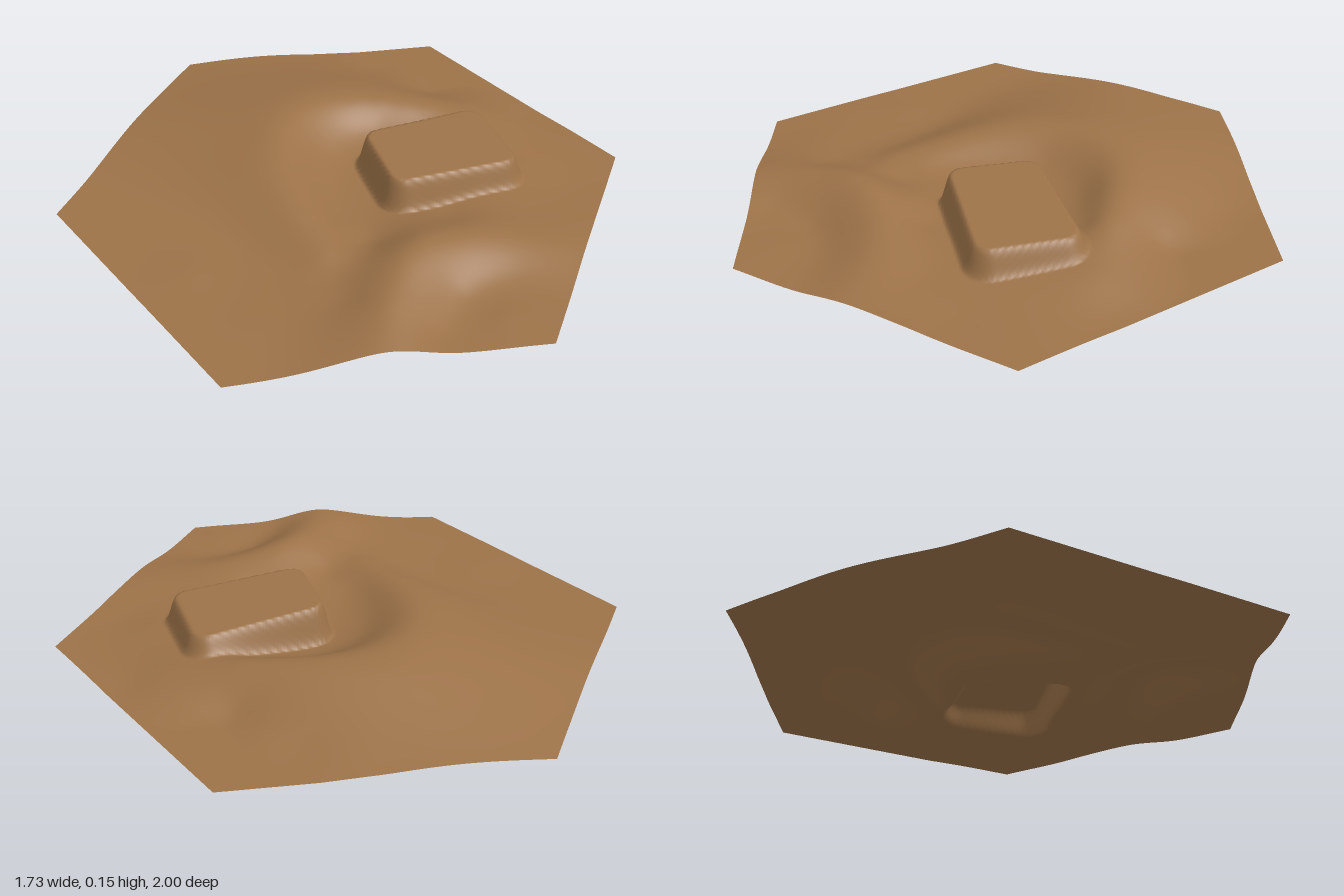
import * as THREE from 'three';

const N = 100; // grid steps per hexagon side

// Crest and foot lines of the land, as [x, height, z] knots
const lines = {
  craterRim: [[0.42, 0.04, -0.54], [0.2, 0.08, -0.46], [0, 0.1, -0.4], [-0.2, 0.12, -0.3], [-0.28, 0.125, -0.12],
    [-0.2, 0.11, 0.07], [-0.05, 0.083, 0.25], [0.1, 0.055, 0.41], [0.17, 0.045, 0.46]],
  craterFoot: [[0.18, 0.05, -0.38], [-0.03, 0.05, -0.28], [-0.11, 0.05, -0.12], [-0.05, 0.048, 0.08],
    [0.08, 0.042, 0.23], [0.2, 0.042, 0.3]],
  westSpur: [[-0.866, 0.03, -0.04], [-0.6, 0.07, -0.02], [-0.38, 0.11, -0.03]],
  westFoot: [[-0.866, 0.003, 0.3], [-0.5, 0.01, 0.36], [-0.2, 0.015, 0.42], [0.08, 0.03, 0.5]],
  eastRim: [[0.866, 0.03, 0.08], [0.65, 0.06, 0.12], [0.48, 0.09, 0.2], [0.36, 0.112, 0.34], [0.36, 0.095, 0.52],
    [0.42, 0.065, 0.757]],
  eastFoot: [[0.866, 0.014, 0.25], [0.68, 0.024, 0.27], [0.55, 0.025, 0.42], [0.54, 0.03, 0.6]],
};

// Single spot heights on the plains and along the border
const spots = [
  [0, 0, -1], [0.43, 0, -0.75], [0.866, 0.004, -0.5], [0.866, 0.02, -0.15], [0.866, 0.016, 0.5], [0.65, 0.022, 0.625],
  [0.2, 0.018, 0.885], [0.1, 0.005, 0.942], [0, 0, 1], [-0.43, 0, 0.75], [-0.866, 0, 0.5], [-0.866, 0.01, -0.5],
  [-0.866, 0.022, -0.28], [-0.65, 0.022, -0.625], [-0.43, 0.01, -0.75], [-0.15, 0.01, -0.74], [0.12, 0.01, -0.66],
  [0.5, 0.008, -0.64], [-0.3, 0.008, 0.6], [0, 0.014, 0.72], [0.22, 0.042, 0.58], [0.4, 0.045, 0.08],
  [0.65, 0.035, -0.05], [0.75, 0.014, -0.25], [0.6, 0.03, -0.3], [0.3, 0.04, -0.18], [0.7, 0.02, 0.45],
];

// Smooth surface through all the points (multiquadric interpolation)
function makeLand() {
  const pts = spots.map((p) => new THREE.Vector3(...p));
  for (const knots of Object.values(lines)) {
    const curve = new THREE.CatmullRomCurve3(knots.map((p) => new THREE.Vector3(...p)));
    pts.push(...curve.getSpacedPoints(Math.round(curve.getLength() / 0.09)));
  }
  const kernel = (p, x, z) => Math.sqrt((p.x - x) ** 2 + (p.z - z) ** 2 + 0.0025);
  const n = pts.length;
  const m = pts.map((a) => [...pts.map((b) => kernel(b, a.x, a.z)), a.y]);
  for (let c = 0; c < n; c++) {
    let best = c;
    for (let r = c + 1; r < n; r++) if (Math.abs(m[r][c]) > Math.abs(m[best][c])) best = r;
    [m[c], m[best]] = [m[best], m[c]];
    for (let r = 0; r < n; r++) {
      if (r === c) continue;
      const f = m[r][c] / m[c][c];
      for (let k = c; k <= n; k++) m[r][k] -= f * m[c][k];
    }
  }
  const weights = m.map((row, i) => row[n] / row[i]);
  return (x, z) => Math.max(0, pts.reduce((sum, p, i) => sum + weights[i] * kernel(p, x, z), 0));
}

// Signed distance to the rounded outline of the mesa
const mesa = [[0.34, -0.38], [0.495, -0.21], [0.225, 0.03], [0.09, -0.13]];
function mesaDistance(x, z) {
  let nearest = Infinity;
  let inside = true;
  mesa.forEach(([ax, az], i) => {
    const [bx, bz] = mesa[(i + 1) % mesa.length];
    const ex = bx - ax, ez = bz - az, px = x - ax, pz = z - az;
    const t = THREE.MathUtils.clamp((px * ex + pz * ez) / (ex * ex + ez * ez), 0, 1);
    nearest = Math.min(nearest, Math.hypot(px - ex * t, pz - ez * t));
    if (ex * pz - ez * px < 0) inside = false;
  });
  return (inside ? -nearest : nearest) - 0.09;
}

function terrainGeometry() {
  const land = makeLand();
  const positions = [];
  const indices = [];
  const ids = new Map();
  const key = (q, r) => q * 1000 + r;
  const s = Math.sqrt(3) / 2;

  // Triangular grid clipped to a hexagon
  for (let q = -N; q <= N; q++) {
    for (let r = Math.max(-N, -N - q); r <= Math.min(N, N - q); r++) {
      const x = (q * s) / N;
      const z = (q * 0.5 + r) / N;
      const ground = land(x, z);
      const top = 0.147 + 0.04 * z - 0.04 * (x - 0.2);
      const rise = 1 - THREE.MathUtils.smoothstep(mesaDistance(x, z), -0.042, 0.002);
      ids.set(key(q, r), positions.length / 3);
      positions.push(x, THREE.MathUtils.lerp(ground, top, rise), z);
    }
  }
  for (let q = -N; q <= N; q++) {
    for (let r = -N; r <= N; r++) {
      const a = ids.get(key(q, r)), b = ids.get(key(q + 1, r));
      const c = ids.get(key(q, r + 1)), d = ids.get(key(q + 1, r + 1));
      if (Math.abs(q) > N || b === undefined || c === undefined) continue;
      if (a !== undefined && Math.abs(q + r) <= N) indices.push(a, c, b);
      if (d !== undefined) indices.push(b, c, d);
    }
  }
  const geometry = new THREE.BufferGeometry();
  geometry.setAttribute('position', new THREE.Float32BufferAttribute(positions, 3));
  geometry.setIndex(indices);
  geometry.computeVertexNormals();
  return geometry;
}

export function createModel() {
  const group = new THREE.Group();
  group.name = 'hexTerrainTile';
  const earth = new THREE.MeshStandardMaterial({ color: 0x9c7248, side: THREE.DoubleSide });
  earth.name = 'earthBrown';

  // Open sheet of land with a crater, two ridges and a mesa
  const terrain = new THREE.Mesh(terrainGeometry(), earth);
  terrain.name = 'terrain';
  group.add(terrain);
  return group;
}
